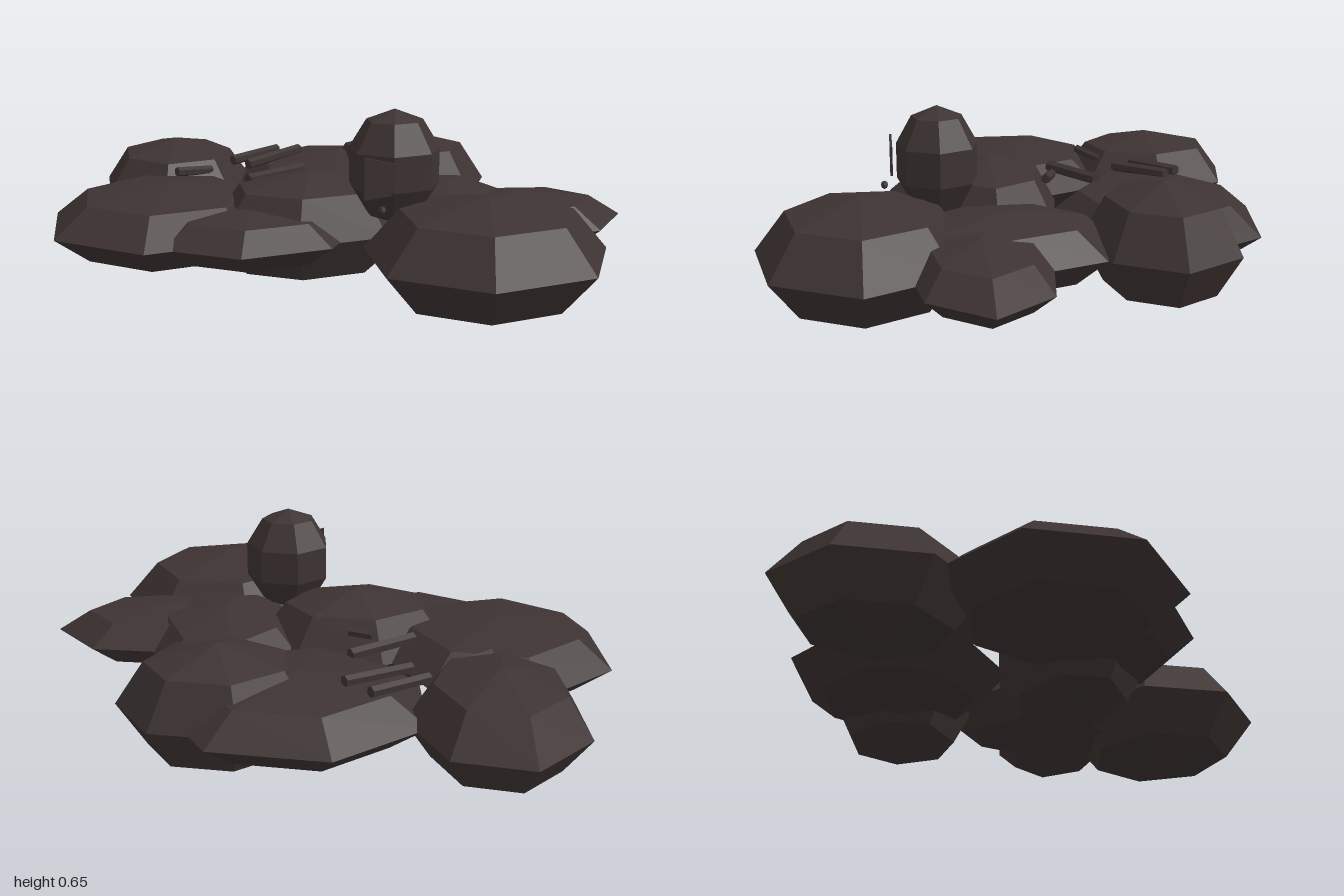
import * as THREE from 'three';

const charcoal = new THREE.MeshStandardMaterial({ color: 0x3d3332, flatShading: true });
charcoal.name = 'charcoal';

export function createModel() {
  const group = new THREE.Group();
  group.name = 'rockCluster';

  const add = (name, geometry) => {
    const mesh = new THREE.Mesh(geometry, charcoal);
    mesh.name = name;
    group.add(mesh);
    return mesh;
  };

  // Faceted seven-sided ellipsoid with a corner towards +x
  const blob = (name, [x, y, z], [rx, ry, rz], rows = 4) => {
    const geometry = new THREE.SphereGeometry(1, 7, rows, Math.PI);
    geometry.scale(rx, ry, rz);
    add(name, geometry).position.set(x, y, z);
  };

  // Flattened boulders: centre, radii
  const boulders = [
    ['frontBoulder', [0.37, 0.215, 0.56], [0.412, 0.197, 0.364]],
    ['rightBoulder', [-0.617, 0.217, -0.045], [0.426, 0.137, 0.406]],
    ['backRightBoulder', [-0.543, 0.218, -0.59], [0.3, 0.182, 0.342]],
    ['backBoulder', [0.091, 0.217, -0.479], [0.455, 0.13, 0.385]],
    ['backLeftBoulder', [0.35, 0.213, -0.44], [0.34, 0.213, 0.275]],
    ['leftBoulder', [0.583, 0.217, 0.195], [0.412, 0.107, 0.246]],
    ['innerLeftBoulder', [0.36, 0.215, 0.1], [0.3, 0.13, 0.4]],
    ['frontRightBoulder', [-0.33, 0.217, 0.187], [0.36, 0.1, 0.278]],
    ['centreBoulder', [-0.125, 0.215, 0.1], [0.37, 0.2, 0.27]],
  ];
  for (const [name, centre, radii] of boulders) blob(name, centre, radii);

  // Tall rounded dome
  blob('dome', [0.126, 0.46, 0.3], [0.165, 0.195, 0.15], 5);

  // Thin upright plate in front of the dome
  const outline = [[-0.012, 0.53], [0.095, 0.505], [0.08, 0.4], [-0.012, 0.39]];
  const plate = new THREE.ExtrudeGeometry(
    new THREE.Shape(outline.map(([x, y]) => new THREE.Vector2(x, y))),
    { depth: 0.008, bevelEnabled: false });
  add('plate', plate).position.z = 0.452;

  // Pebble beside the plate
  blob('pebble', [0.042, 0.36, 0.482], [0.013, 0.015, 0.013]);

  // Loose sticks: start, end, radius
  const sticks = [
    [[-0.33, 0.32, -0.49], [-0.135, 0.33, -0.615], 0.02],
    [[-0.28, 0.32, -0.41], [-0.055, 0.34, -0.555], 0.02],
    [[-0.31, 0.32, -0.16], [-0.085, 0.32, -0.3], 0.022],
    [[-0.56, 0.325, -0.315], [-0.425, 0.31, -0.385], 0.018],
    [[-0.17, 0.325, -0.145], [-0.09, 0.325, -0.11], 0.018],
  ];
  for (const [from, to, radius] of sticks) {
    const start = new THREE.Vector3(...from);
    const end = new THREE.Vector3(...to);
    const direction = end.clone().sub(start);
    const stick = add('stick', new THREE.CylinderGeometry(radius, radius, direction.length(), 6));
    stick.position.copy(start).add(end).multiplyScalar(0.5);
    stick.quaternion.setFromUnitVectors(new THREE.Vector3(0, 1, 0), direction.normalize());
  }

  return group;
}
